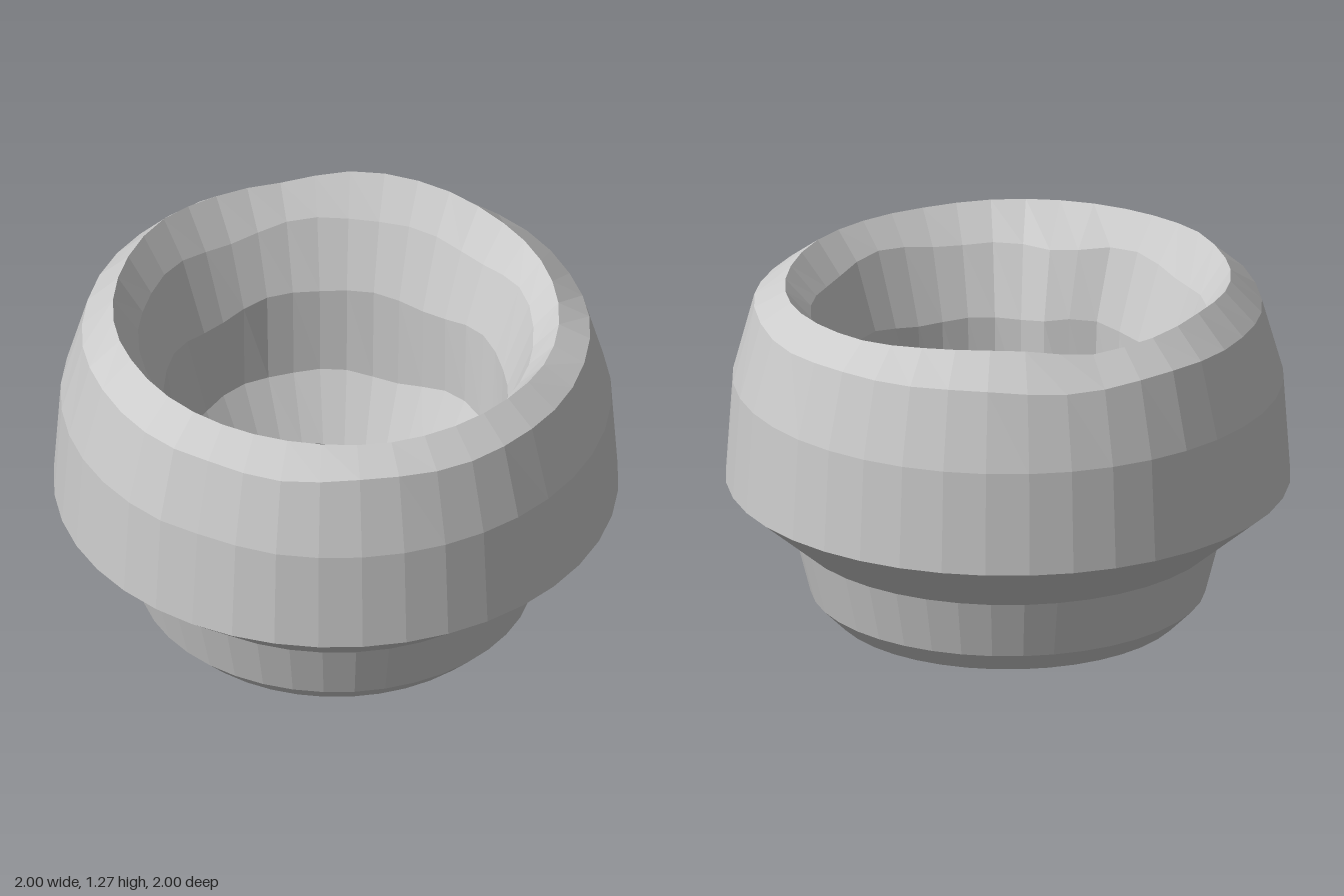
import * as THREE from 'three';

// Closed wall section [radius, height]: up the outside, over the rim, down the inside
const SECTION = [
  [0.62, 0], [0.70, 0.08], [0.755, 0.295], [1.0, 0.5], [0.975, 0.875], [0.90, 1.15],
  [0.79, 1.245],
  [0.70, 1.12], [0.61, 0.87], [0.60, 0.53], [0.48, 0.3], [0.55, 0.085], [0.62, 0],
];
const CREST = 6;

// Rim height every 20 degrees, from +x towards +z
const RIM = [1.23, 1.22, 1.215, 1.23, 1.23, 1.23, 1.24, 1.245, 1.25,
  1.26, 1.25, 1.26, 1.275, 1.25, 1.235, 1.275, 1.265, 1.24];

function rimHeight(angle) {
  const t = ((angle / (Math.PI * 2) + 1) % 1) * RIM.length;
  const i = Math.floor(t) % RIM.length;
  return THREE.MathUtils.lerp(RIM[i], RIM[(i + 1) % RIM.length], t - Math.floor(t));
}

// Smooth bump of height 1 centred on an angle
function bump(angle, centre, width) {
  const d = Math.atan2(Math.sin(angle - centre), Math.cos(angle - centre));
  return Math.exp(-((d / width) ** 2));
}

// Hand-shaped unevenness of the rim and the inner wall
function roughen(geometry) {
  const pos = geometry.attributes.position;
  const rows = SECTION.length;
  for (let i = 0; i < pos.count; i++) {
    const k = i % rows;
    let [r, y] = SECTION[k];
    const a = Math.atan2(pos.getZ(i), pos.getX(i));
    const wave = Math.sin(5 * a + k) * 0.6 + Math.sin(9 * a + 2 * k) * 0.4;
    if (k === CREST) y = rimHeight(a);
    if (k === CREST - 1) y += 0.012 * wave;
    if (k > CREST && k < rows - 2) {
      // Inner wall wobbles and swells inwards at one spot
      y += 0.02 * wave;
      r += 0.008 * wave;
      if (k < rows - 3) r -= 0.07 * bump(a, 2.4, 0.22);
      else r -= 0.02 * bump(a, 2.3, 0.3) + 0.02 * bump(a, 1.6, 0.4);
    }
    // Slight dent in the outer shoulder
    if (k >= 4 && k < CREST) r -= 0.015 * bump(a, 2.45, 0.12);
    pos.setXYZ(i, r * Math.cos(a), y, r * Math.sin(a));
  }
  geometry.computeVertexNormals();
}

export function createModel() {
  const group = new THREE.Group();
  group.name = 'pot';
  const material = new THREE.MeshStandardMaterial({ color: 0xcccccc, flatShading: true });
  const geometry = new THREE.LatheGeometry(SECTION.map(([r, y]) => new THREE.Vector2(r, y)), 40);
  roughen(geometry);
  const body = new THREE.Mesh(geometry, material);
  body.name = 'ringBody';
  group.add(body);
  return group;
}
